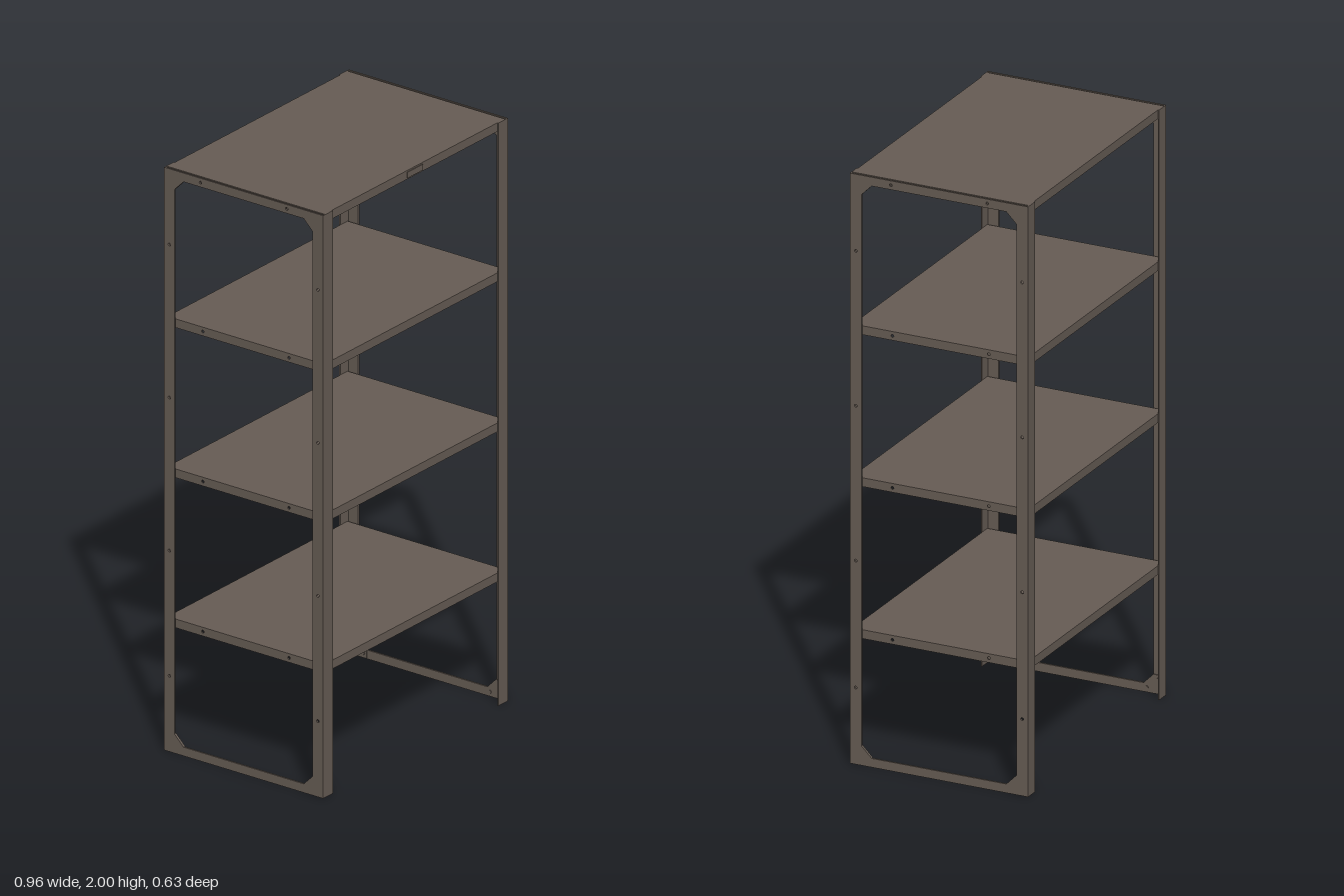
import * as THREE from 'three';

const W = 0.48, D = 0.314, H = 2;       // half width, half depth, height
const SHELF_X = 0.468, SHELF_Z = 0.31;  // half size of a shelf
const LIP = 0.03, T = 0.004;            // shelf lip height, sheet thickness

export function createModel() {
  const model = new THREE.Group();
  model.name = 'shelvingUnit';
  const steel = new THREE.MeshStandardMaterial({ color: 0x665c54 });
  steel.name = 'brownSteel';

  const add = (parent, name, geometry, x = 0, y = 0, z = 0) => {
    const mesh = new THREE.Mesh(geometry, steel);
    mesh.name = name;
    mesh.position.set(x, y, z);
    parent.add(mesh);
    return mesh;
  };
  const box = (parent, name, w, h, d, x, y, z) =>
    add(parent, name, new THREE.BoxGeometry(w, h, d), x, y, z);

  // Flat sheet drawn in z and y, given thickness along x and centred on x = 0
  const outline = points => points.map(p => new THREE.Vector2(p[0], p[1]));
  const sheet = (points, openings, boltHoles, thickness) => {
    const shape = new THREE.Shape(outline(points));
    openings.forEach(o => shape.holes.push(new THREE.Path(outline(o))));
    boltHoles.forEach(([z, y]) =>
      shape.holes.push(new THREE.Path().absarc(z, y, 0.005, 0, Math.PI * 2, true)));
    const g = new THREE.ExtrudeGeometry(shape, { depth: thickness, bevelEnabled: false, curveSegments: 6 });
    return g.translate(0, 0, -thickness / 2).rotateY(Math.PI / 2);
  };
  const rect = (z, y0, y1) => [[-z, y0], [z, y0], [z, y1], [-z, y1]];

  // Shelves: open pans with turned-down lips, bolt holes in the end lips
  const endLip = sheet(rect(SHELF_Z, -LIP, 0), [], [[-0.17, -LIP / 2], [0.17, -LIP / 2]], T);
  [0.455, 0.97, 1.485, 2].forEach((top, i) => {
    const shelf = new THREE.Group();
    shelf.name = 'shelf' + (i + 1);
    shelf.position.y = top;
    model.add(shelf);
    box(shelf, 'shelfPanel', SHELF_X * 2, T, SHELF_Z * 2, 0, -T / 2, 0);
    for (const s of [-1, 1]) {
      box(shelf, 'longLip', SHELF_X * 2, LIP, T, 0, -LIP / 2, s * (SHELF_Z - T / 2));
      add(shelf, 'endLip', endLip, s * (SHELF_X - T / 2));
    }
  });

  // Small plain plate in the middle of the top front lip
  box(model, 'frontPlate', 0.08, 0.02, 0.003, 0, H - LIP / 2, SHELF_Z + 0.0015);

  // End frames: uprights and rails in one sheet, with chamfered inner corners
  const iz = 0.273, y0 = 0.03, y1 = H - 0.03, c = 0.036;
  const opening = [
    [-iz, y0 + c], [-iz, y1 - c], [-iz + c, y1], [iz - c, y1],
    [iz, y1 - c], [iz, y0 + c], [iz - c, y0], [-iz + c, y0],
  ];
  const holes = [[-0.17, H - LIP / 2], [0.17, H - LIP / 2]];
  for (const y of [0.26, 0.69, 1.215, 1.74]) holes.push([-0.293, y], [0.293, y]);
  const endFrame = sheet(rect(D, 0, H), [opening], holes, 0.006);

  // Corner gusset on the inner face of the frame
  const zo = SHELF_Z - 0.005;
  const gusset = sheet([
    [zo, 0.003], [zo, y0 + c], [iz, y0 + c], [iz - c, y0], [iz - c, 0.003],
  ], [], [], 0.003);
  const boltHead = new THREE.CylinderGeometry(0.006, 0.006, 0.003, 6).rotateZ(Math.PI / 2);

  for (const sx of [-1, 1]) {
    const side = new THREE.Group();
    side.name = sx > 0 ? 'leftEnd' : 'rightEnd';
    model.add(side);
    add(side, 'endFrame', endFrame, sx * (W - 0.003));
    for (const sz of [-1, 1]) {
      // Front or back flange of the angle post
      box(side, 'postFlange', 0.05, H, T, sx * (W - 0.025), H / 2, sz * (D - T / 2));
      for (const atTop of [false, true]) {
        const corner = new THREE.Group();
        corner.name = 'cornerBracket';
        corner.position.set(sx * 0.4725, atTop ? H : 0, 0);
        // A half turn keeps the faces outward for each of the four corners
        corner.rotation.set(atTop ? Math.PI : 0, (sz > 0) !== atTop ? Math.PI : 0, 0);
        side.add(corner);
        const inward = (sz > 0) !== atTop ? sx : -sx;
        add(corner, 'gusset', gusset);
        for (const [z, y] of [[0.25, 0.018], [0.29, 0.05]])
          add(corner, 'boltHead', boltHead, inward * 0.0025, y, -z).position.z = -z;
      }
    }
  }
  return model;
}
